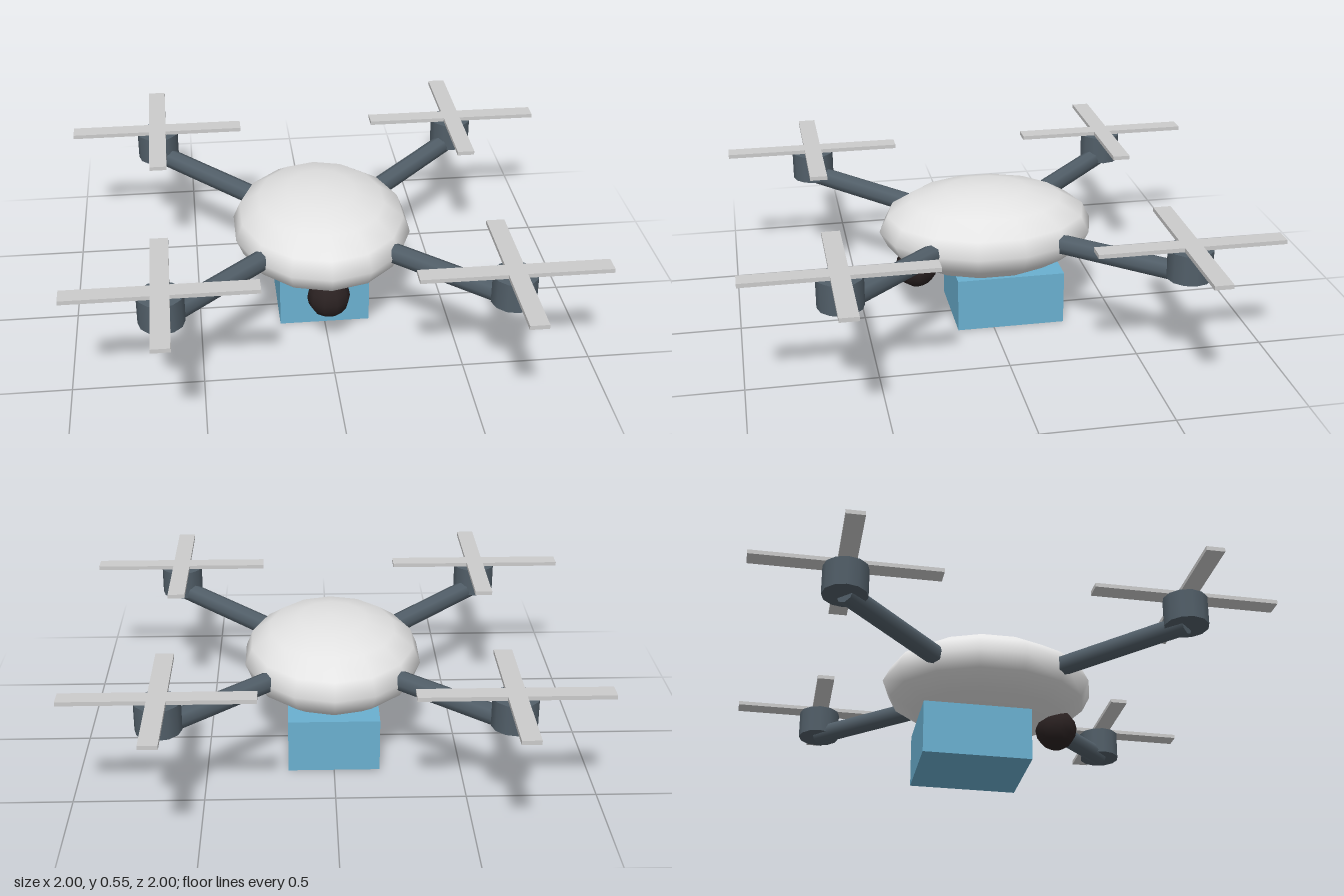
import * as THREE from 'three';

export function createModel() {
  const model = new THREE.Group();
  model.name = 'deliveryDrone';

  const material = (name, color) => {
    const m = new THREE.MeshStandardMaterial({ color });
    m.name = name;
    return m;
  };
  const shellWhite = material('shellWhite', 0xe4e4e4);
  const slateGrey = material('slateGrey', 0x525f69);
  const bladeGrey = material('bladeGrey', 0xcbcbcb);
  const parcelBlue = material('parcelBlue', 0x6ab0d0);
  const lensBlack = material('lensBlack', 0x2a2121);

  const add = (name, geometry, mat, x, y, z, parent = model) => {
    const mesh = new THREE.Mesh(geometry, mat);
    mesh.name = name;
    mesh.position.set(x, y, z);
    parent.add(mesh);
    return mesh;
  };

  // Egg-shaped body, with the facet corners on the front-back axis
  const shell = new THREE.SphereGeometry(1, 14, 8);
  shell.rotateY(Math.PI / 2);
  shell.scale(0.355, 0.17, 0.43);
  add('body', shell, shellWhite, 0, 0.375, 0);

  // Ball camera under the nose and parcel under the belly
  add('camera', new THREE.SphereGeometry(0.084, 10, 8), lensBlack, 0, 0.215, 0.285);
  add('parcel', new THREE.BoxGeometry(0.36, 0.215, 0.43), parcelBlue, 0, 0.1075, -0.07);

  // Four arms, each with a motor and a crossed rotor
  const hub = 0.642;
  const motor = new THREE.CylinderGeometry(0.086, 0.086, 0.115, 12);
  const blade = new THREE.BoxGeometry(0.715, 0.016, 0.07);
  const up = new THREE.Vector3(0, 1, 0);
  for (const sx of [-1, 1]) {
    for (const sz of [-1, 1]) {
      const unit = new THREE.Group();
      unit.name = (sz > 0 ? 'front' : 'back') + (sx > 0 ? 'Left' : 'Right') + 'RotorUnit';
      model.add(unit);

      const start = new THREE.Vector3(sx * 0.2, 0.375, sz * 0.2);
      const end = new THREE.Vector3(sx * hub, 0.397, sz * hub);
      const along = end.clone().sub(start);
      const mid = start.clone().add(end).multiplyScalar(0.5);
      const rod = new THREE.CylinderGeometry(0.04, 0.04, along.length(), 8);
      const arm = add('arm', rod, slateGrey, mid.x, mid.y, mid.z, unit);
      arm.quaternion.setFromUnitVectors(up, along.normalize());

      add('motor', motor, slateGrey, sx * hub, 0.4425, sz * hub, unit);
      for (const turn of [0, Math.PI / 2]) {
        add('blade', blade, bladeGrey, sx * hub, 0.51, sz * hub, unit).rotation.y = turn;
      }
    }
  }
  return model;
}
